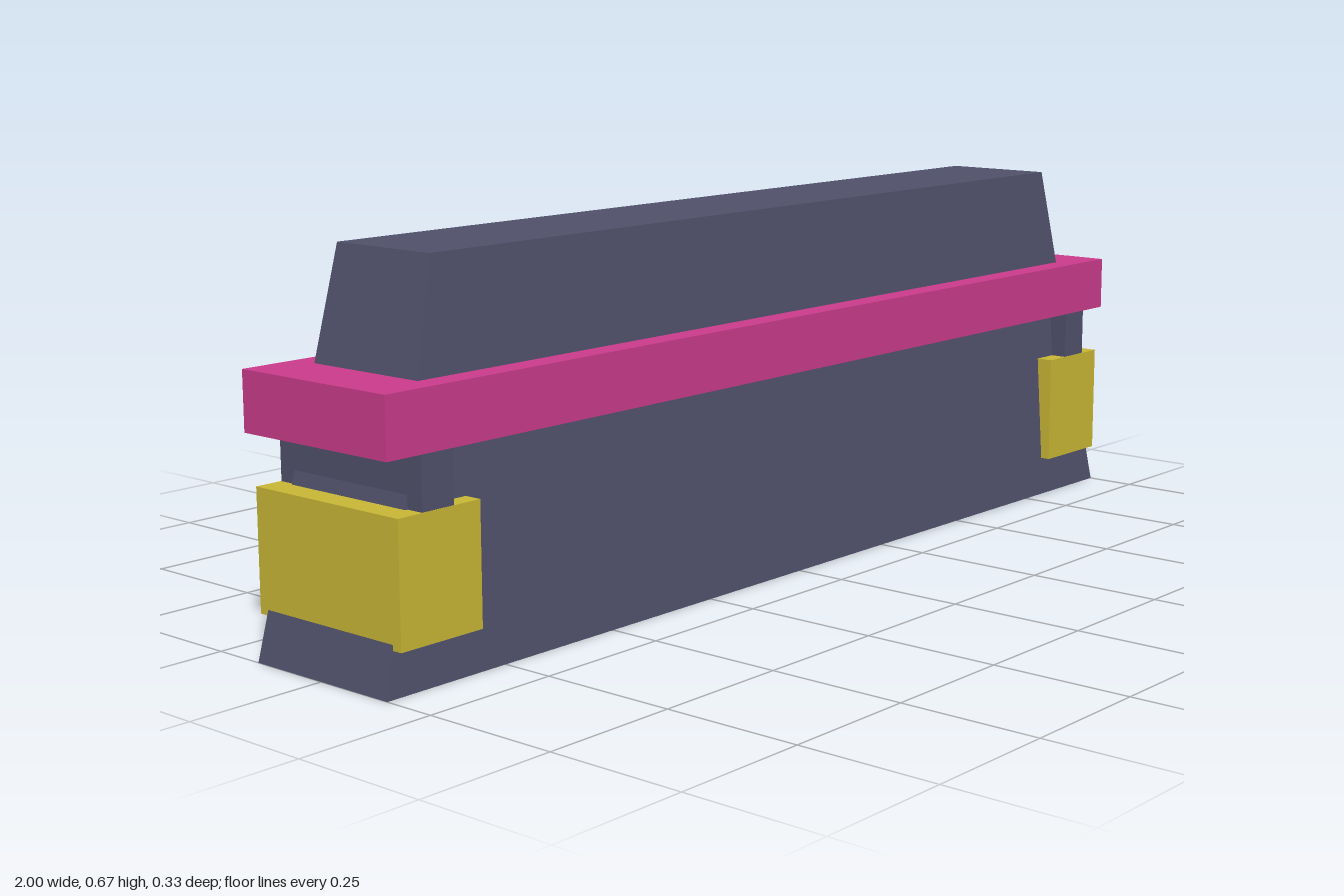
import * as THREE from 'three';

export function createModel() {
  const model = new THREE.Group();
  model.name = 'model';

  const mat = (name, color) => {
    const m = new THREE.MeshStandardMaterial({ color });
    m.name = name;
    return m;
  };
  const slate = mat('slate', 0x50506b);
  const pink = mat('pink', 0xca3b8c);
  const yellow = mat('yellow', 0xc9b635);

  // box spanning y0..y1, centred on x and z = 0
  const block = (name, w, y0, y1, d, material, x = 0) => {
    const mesh = new THREE.Mesh(new THREE.BoxGeometry(w, y1 - y0, d), material);
    mesh.name = name;
    mesh.position.set(x, (y0 + y1) / 2, 0);
    model.add(mesh);
    return mesh;
  };

  // long body, narrowing towards the top
  const body = block('body', 2, 0, 0.667, 0.308, slate);
  const p = body.geometry.attributes.position;
  for (let i = 0; i < p.count; i++) {
    if (p.getY(i) > 0) {
      p.setX(i, p.getX(i) * 0.85);
      p.setZ(i, p.getZ(i) * 0.7);
    }
  }
  body.geometry.computeVertexNormals();

  // band around the upper body
  block('band', 2, 0.374, 0.476, 0.334, pink);

  // end blocks, each hung from the band by a post
  for (const [side, s] of [['left', 1], ['right', -1]]) {
    block(side + 'EndBlock', 0.17, 0.075, 0.284, 0.334, yellow, s * 0.896);
    block(side + 'Post', 0.066, 0.08, 0.42, 0.332, slate, s * 0.898);
  }
  return model;
}
